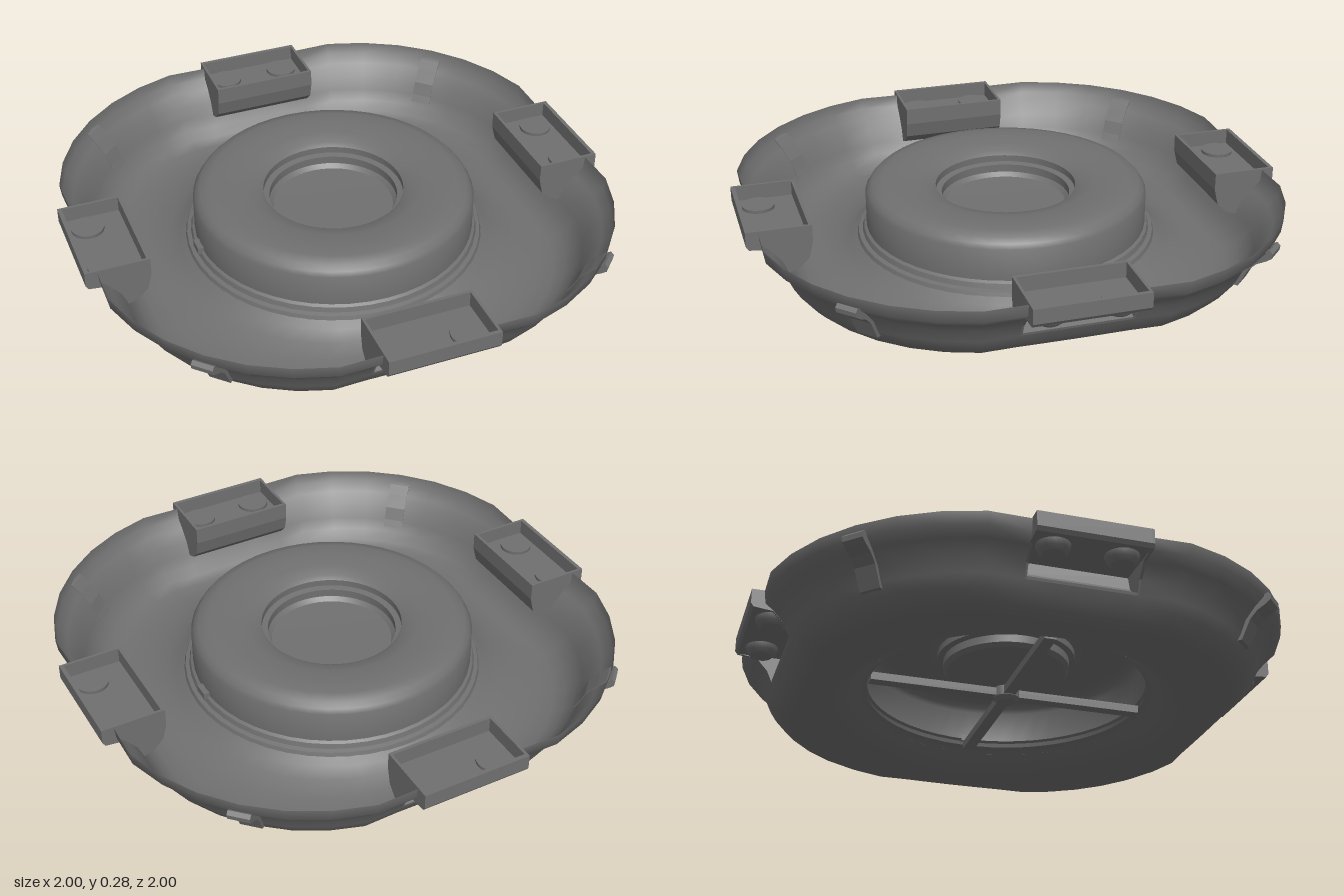
import * as THREE from 'three';
import { toCreasedNormals } from 'three/addons/utils/BufferGeometryUtils.js';

const material = new THREE.MeshStandardMaterial({ color: 0x707070, side: THREE.DoubleSide });

function add(parent, name, geometry, x = 0, y = 0, z = 0) {
  const mesh = new THREE.Mesh(geometry, material);
  mesh.name = name;
  mesh.position.set(x, y, z);
  parent.add(mesh);
  return mesh;
}

// Extrudes a [z, y] profile along x, centred on x = 0
function sideProfile(points, width) {
  const shape = new THREE.Shape(points.map(([z, y]) => new THREE.Vector2(z, y)));
  return new THREE.ExtrudeGeometry(shape, { depth: width, bevelEnabled: false })
    .translate(0, 0, -width / 2)
    .rotateY(-Math.PI / 2);
}

const lathe = (points, segments) =>
  toCreasedNormals(new THREE.LatheGeometry(points.map(([r, y]) => new THREE.Vector2(r, y)), segments), 0.6);

// One quarter of the plan outline: a flat side, then a broad corner arc
const HALF = 0.955, CENTRE = 0.177, RADIUS = 0.8, ARC = 6, FLAT = 4;
function quarterOutline(inset) {
  const points = [];
  for (let i = 0; i <= FLAT; i++) points.push([-0.2 + 0.1 * i, HALF - inset]);
  const start = 0.222;
  for (let i = 0; i <= ARC; i++) {
    const a = start + (Math.PI / 2 - 2 * start) * (i / ARC);
    points.push([CENTRE + (RADIUS - inset) * Math.sin(a), CENTRE + (RADIUS - inset) * Math.cos(a)]);
  }
  return points;
}

// Open dish: rounded square rim blending to a round inner opening
function dishGeometry() {
  // inset, height, roundness
  const levels = [
    [0, 0.27, 0], [0.006, 0.225, 0], [0.04, 0.195, 0], [0.078, 0.15, 0], [0.1, 0.1, 0],
    [0.122, 0.06, 0.03], [0.15, 0.027, 0.08], [0.185, 0.007, 0.16], [0.23, 0, 0.35],
    [0.28, 0.006, 0.65], [0.33, 0.025, 0.9], [0.37, 0.05, 1], [0.405, 0.078, 1], [0.428, 0.088, 1],
  ];
  const positions = [], index = [];
  const perSide = FLAT + ARC + 2, count = perSide * 4;
  for (const [inset, y, round] of levels) {
    for (let side = 0; side < 4; side++) {
      const s = Math.sin(side * Math.PI / 2), c = Math.cos(side * Math.PI / 2);
      for (const [px, pz] of quarterOutline(inset)) {
        const k = THREE.MathUtils.lerp(1, (HALF - inset) / Math.hypot(px, pz), round);
        positions.push((px * c + pz * s) * k, y, (pz * c - px * s) * k);
      }
    }
  }
  for (let i = 0; i < levels.length - 1; i++) {
    for (let k = 0; k < count; k++) {
      // Openings behind the four brackets
      if (i < 4 && k % perSide < FLAT) continue;
      const n = (k + 1) % count;
      const a = i * count + k, b = a + count, c = i * count + n, d = c + count;
      index.push(a, b, d, a, d, c);
    }
  }
  const geometry = new THREE.BufferGeometry();
  geometry.setAttribute('position', new THREE.Float32BufferAttribute(positions, 3));
  geometry.setIndex(index);
  geometry.computeVertexNormals();
  return geometry;
}

// Pocket-shaped mounting bracket on the +z side
function createBracket() {
  const bracket = new THREE.Group();
  bracket.name = 'bracket';
  add(bracket, 'bracketPlate', new THREE.BoxGeometry(0.39, 0.012, 0.22), 0, 0.212, 0.88);
  add(bracket, 'bracketOuterWall', sideProfile([[0.985, 0.206], [0.99, 0.206], [1, 0.22], [1, 0.275], [0.985, 0.275]], 0.396));
  add(bracket, 'bracketInnerWall', sideProfile(
    [[0.765, 0.275], [0.765, 0.21], [0.78, 0.15], [0.815, 0.115], [0.855, 0.1], [0.858, 0.11], [0.82, 0.126], [0.792, 0.155], [0.777, 0.21], [0.777, 0.275]], 0.405));
  const cheek = sideProfile(
    [[0.765, 0.275], [0.765, 0.21], [0.78, 0.15], [0.815, 0.115], [0.855, 0.1], [0.877, 0.15], [0.92, 0.198], [0.99, 0.206], [1, 0.22], [1, 0.275]], 0.01);
  for (const s of [-1, 1]) {
    add(bracket, 'bracketCheek', cheek, s * 0.198, 0, 0);
    add(bracket, 'bracketPad', lathe([[0, 0.17], [0.038, 0.172], [0.053, 0.185], [0.06, 0.206], [0.06, 0.23], [0, 0.23]], 24), s * 0.12, 0, 0.912);
  }
  return bracket;
}

export function createModel() {
  const model = new THREE.Group();
  model.name = 'dishCover';
  add(model, 'dish', dishGeometry());

  // Raised central hub with a recessed cup
  add(model, 'hub', lathe([
    [0.56, 0.07], [0.555, 0.085], [0.54, 0.09], [0.535, 0.108], [0.525, 0.115], [0.525, 0.235], [0.515, 0.252], [0.498, 0.27],
    [0.46, 0.28], [0.4, 0.28], [0.33, 0.274], [0.28, 0.262], [0.262, 0.25], [0.262, 0.225], [0.24, 0.22], [0.24, 0.19],
    [0.225, 0.175], [0, 0.17]], 48));

  // Cross struts and boss under the hub
  for (let i = 0; i < 2; i++) {
    add(model, 'strut', new THREE.BoxGeometry(1.05, 0.03, 0.045), 0, 0.085, 0).rotation.y = i * Math.PI / 2;
  }
  add(model, 'strutBoss', lathe([[0, 0.055], [0.035, 0.055], [0.05, 0.068], [0.05, 0.105], [0, 0.105]], 16));

  // Small tabs on the hub wall
  for (const s of [-1, 1]) add(model, 'hubTab', new THREE.BoxGeometry(0.025, 0.025, 0.06), s * 0.533, 0.118, 0);

  // Slim ribs hugging the outside of each corner
  const rib = sideProfile([[0.93, 0.078], [0.95, 0.078], [0.968, 0.115], [0.985, 0.15], [1.012, 0.178], [1.045, 0.196],
    [1.064, 0.21], [1.067, 0.228], [1.055, 0.24], [1.035, 0.228], [1.005, 0.197], [0.968, 0.152], [0.946, 0.105]], 0.08);
  for (let i = 0; i < 4; i++) {
    const bracket = createBracket();
    bracket.rotation.y = i * Math.PI / 2;
    model.add(bracket);
    add(model, 'cornerRib', rib).rotation.y = (i + 0.5) * Math.PI / 2;
  }
  return model;
}
